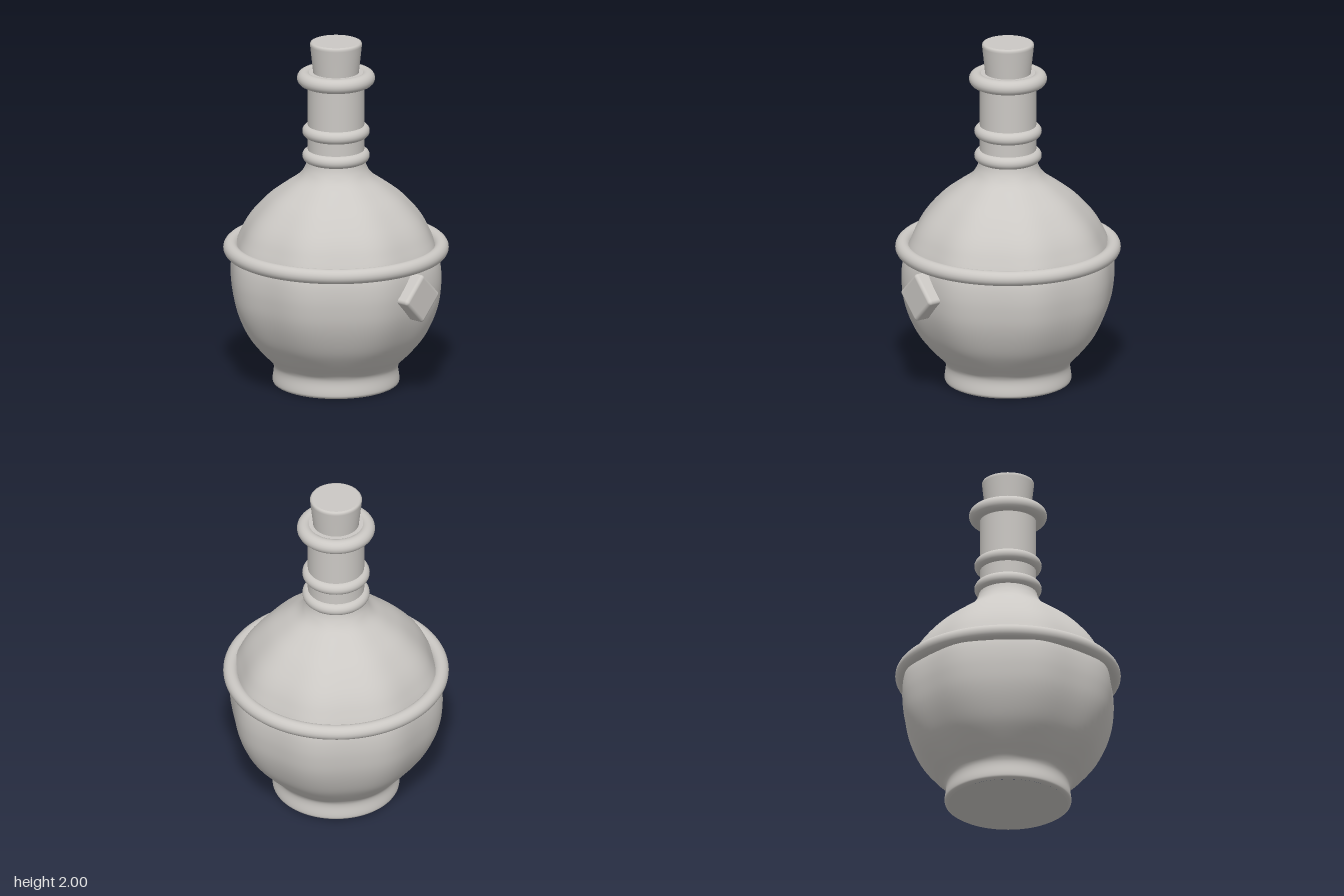
import * as THREE from 'three';
import { mergeVertices } from 'three/addons/utils/BufferGeometryUtils.js';
import { RoundedBoxGeometry } from 'three/addons/geometries/RoundedBoxGeometry.js';

const SEGMENTS = 96;
const LOBES = 8;

// Smooth curve through [radius, height] pairs
function smoothProfile(pairs, divisions) {
  return new THREE.SplineCurve(pairs.map(([r, y]) => new THREE.Vector2(r, y))).getPoints(divisions);
}

// Swell the round body into soft vertical lobes that fade out at foot and neck
function addLobes(geometry, yMin, yMax) {
  const p = geometry.attributes.position;
  for (let i = 0; i < p.count; i++) {
    const x = p.getX(i), y = p.getY(i), z = p.getZ(i);
    const t = THREE.MathUtils.clamp((y - yMin) / (yMax - yMin), 0, 1);
    const fade = Math.sqrt(Math.sin(Math.PI * t));
    const k = 1 - 0.02 * fade * Math.cos(LOBES * Math.atan2(x, z));
    p.setXYZ(i, x * k, y, z * k);
  }
  geometry.deleteAttribute('uv');
  geometry.deleteAttribute('normal');
  const welded = mergeVertices(geometry, 1e-5);
  welded.computeVertexNormals();
  return welded;
}

export function createModel() {
  const model = new THREE.Group();
  model.name = 'bottle';
  const grey = new THREE.MeshStandardMaterial({ color: 0xcbc8c4 });
  grey.name = 'warm grey';

  const bottle = new THREE.Group();
  bottle.name = 'turnedParts';
  bottle.position.z = -0.015;
  model.add(bottle);

  const add = (name, geometry, parent = bottle) => {
    const mesh = new THREE.Mesh(geometry, grey);
    mesh.name = name;
    parent.add(mesh);
    return mesh;
  };

  // Foot and lobed body up to the base of the neck
  const body = smoothProfile([
    [0.336, 0.001], [0.354, 0.012], [0.357, 0.035], [0.35, 0.09], [0.357, 0.125],
    [0.385, 0.16], [0.433, 0.21], [0.503, 0.3], [0.553, 0.4], [0.585, 0.5],
    [0.598, 0.6], [0.598, 0.68], [0.588, 0.75], [0.566, 0.81], [0.545, 0.86],
    [0.51, 0.93], [0.46, 1.0], [0.38, 1.085], [0.29, 1.155], [0.215, 1.21],
    [0.178, 1.26], [0.162, 1.31], [0.158, 1.36],
  ], 110);
  add('body', addLobes(new THREE.LatheGeometry(body, SEGMENTS), 0.13, 1.25));

  // Flat underside
  const base = add('base', new THREE.CircleGeometry(0.337, SEGMENTS));
  base.rotation.x = Math.PI / 2;

  // Straight neck
  const neck = add('neck', new THREE.CylinderGeometry(0.159, 0.159, 0.48, SEGMENTS, 1, true));
  neck.position.y = 1.56;

  // Raised bands: name, height, outer radius, tube radius, vertical stretch
  [
    ['waistBand', 0.795, 0.635, 0.042, 1],
    ['lowerNeckBand', 1.335, 0.19, 0.036, 1],
    ['upperNeckBand', 1.478, 0.19, 0.036, 1],
    ['lip', 1.788, 0.22, 0.042, 1],
  ].forEach(([name, y, outer, tube, stretch]) => {
    const band = add(name, new THREE.TorusGeometry(outer - tube, tube, 20, SEGMENTS));
    band.rotation.x = Math.PI / 2;
    band.scale.z = stretch;
    band.position.y = y;
  });

  // Top of the neck around the stopper
  const rim = add('rim', new THREE.RingGeometry(0.1, 0.185, SEGMENTS));
  rim.rotation.x = -Math.PI / 2;
  rim.position.y = 1.822;

  // Tapered stopper with a softened top edge
  const stopper = [[0.127, 1.79], [0.13, 1.83], [0.146, 1.978], [0.1465, 1.988], [0.143, 1.996], [0.135, 2]];
  add('stopper', new THREE.LatheGeometry(stopper.map(([r, y]) => new THREE.Vector2(r, y)), SEGMENTS));
  const cap = add('stopperTop', new THREE.CircleGeometry(0.135, SEGMENTS));
  cap.rotation.x = -Math.PI / 2;
  cap.position.y = 2;

  // Diamond badge on the front
  const badge = add('diamondBadge', new RoundedBoxGeometry(0.205, 0.205, 0.16, 4, 0.02), model);
  badge.rotation.z = Math.PI / 4;
  badge.position.set(0, 0.618, 0.565);

  return model;
}
